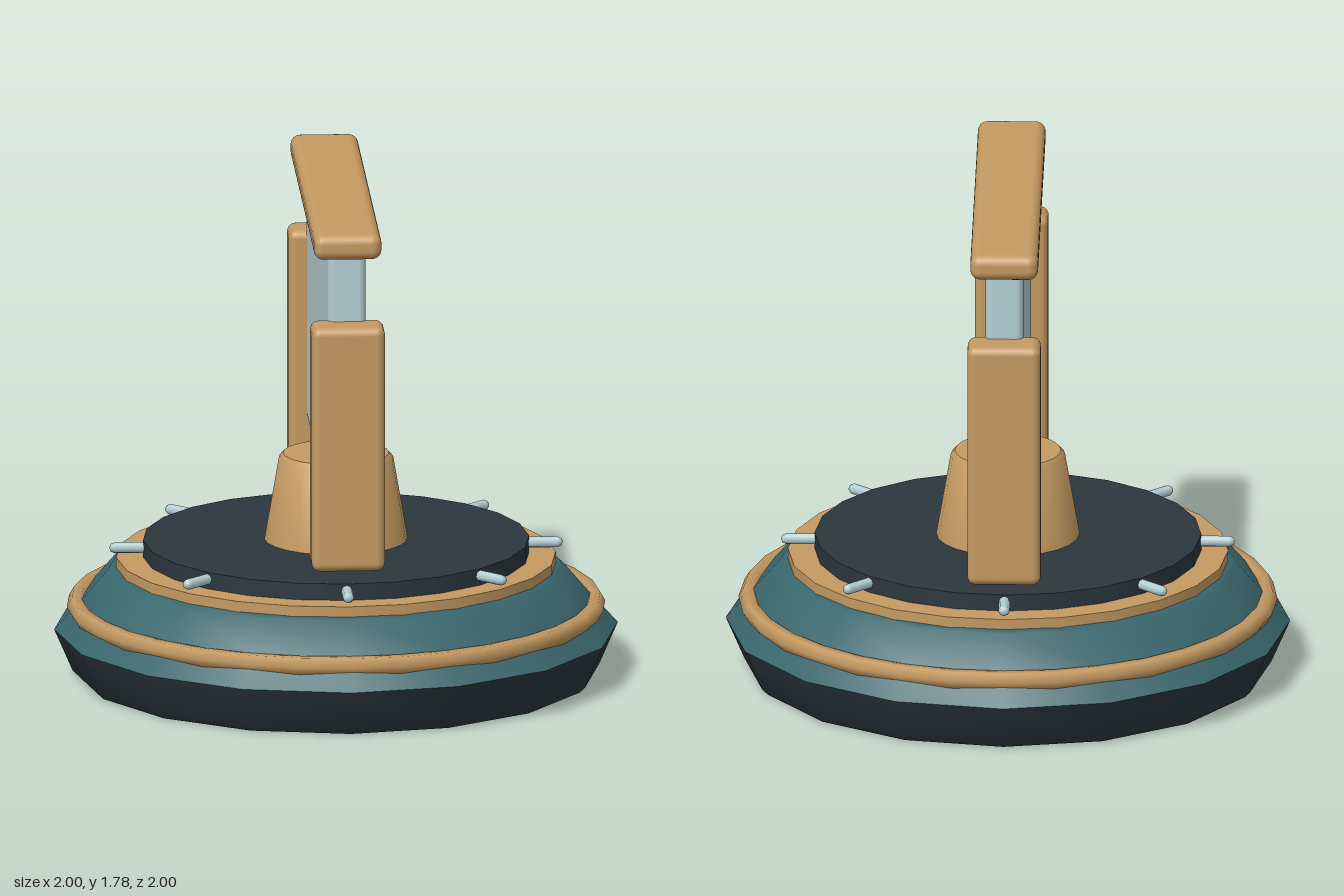
import * as THREE from 'three';
import { toCreasedNormals } from 'three/addons/utils/BufferGeometryUtils.js';
import { RoundedBoxGeometry } from 'three/addons/geometries/RoundedBoxGeometry.js';

function material(name, color) {
  const m = new THREE.MeshStandardMaterial({ color });
  m.name = name;
  return m;
}

// Turned shape from [radius, height] pairs, listed bottom to top
function turned(profile, sides) {
  const points = profile.map(([r, y]) => new THREE.Vector2(r, y));
  return toCreasedNormals(new THREE.LatheGeometry(points, sides), 0.6);
}

export function createModel() {
  const wood = material('tan wood', 0xc49a62);
  const teal = material('teal', 0x39666d);
  const dark = material('dark slate', 0x2b373e);
  const pale = material('pale blue', 0xb4cfd4);

  const model = new THREE.Group();
  model.name = 'roundBaseWithPanel';
  const add = (name, geometry, mat, x = 0, y = 0, z = 0) => {
    const mesh = new THREE.Mesh(geometry, mat);
    mesh.name = name;
    mesh.position.set(x, y, z);
    model.add(mesh);
    return mesh;
  };

  // Stepped base
  add('foot', turned([[0, 0], [0.915, 0], [0.935, 0.02], [1, 0.17]], 16), dark);
  add('baseShell', turned([[1, 0.17], [0.9, 0.28], [0.81, 0.385], [0.79, 0.393], [0, 0.393]], 16), teal);
  const band = add('baseBand', new THREE.TorusGeometry(0.92, 0.035, 6, 32), wood, 0, 0.25, 0);
  band.rotation.x = Math.PI / 2;
  add('collar', new THREE.CylinderGeometry(0.78, 0.78, 0.045, 24), wood, 0, 0.4075, 0);
  add('turntable', new THREE.CylinderGeometry(0.685, 0.685, 0.062, 24), dark, 0, 0.459, 0);

  // Pegs around the turntable
  for (let i = 0; i < 8; i++) {
    const a = (i * Math.PI) / 4;
    const geometry = new THREE.CapsuleGeometry(0.02, 0.1, 2, 8);
    geometry.rotateZ(Math.PI / 2);
    const peg = add('peg', geometry, pale, 0.735 * Math.cos(a), 0.465, 0.735 * Math.sin(a));
    peg.rotation.y = -a;
  }

  // Tapered hub carrying the panel
  add('hub', turned([[0.255, 0.485], [0.203, 0.785], [0.188, 0.802], [0, 0.802]], 24), wood);
  add('panel', new RoundedBoxGeometry(0.134, 0.95, 1.39, 3, 0.025), pale, 0, 1.24, 0);
  add('topRail', new RoundedBoxGeometry(0.24, 0.092, 1.54, 3, 0.035), wood, 0, 1.734, 0);

  // Front and back end posts
  for (const side of [1, -1]) {
    add(side > 0 ? 'frontPost' : 'backPost',
      new RoundedBoxGeometry(0.26, 0.89, 0.155, 3, 0.03), wood, 0, 1.005, side * 0.725);
  }
  return model;
}
